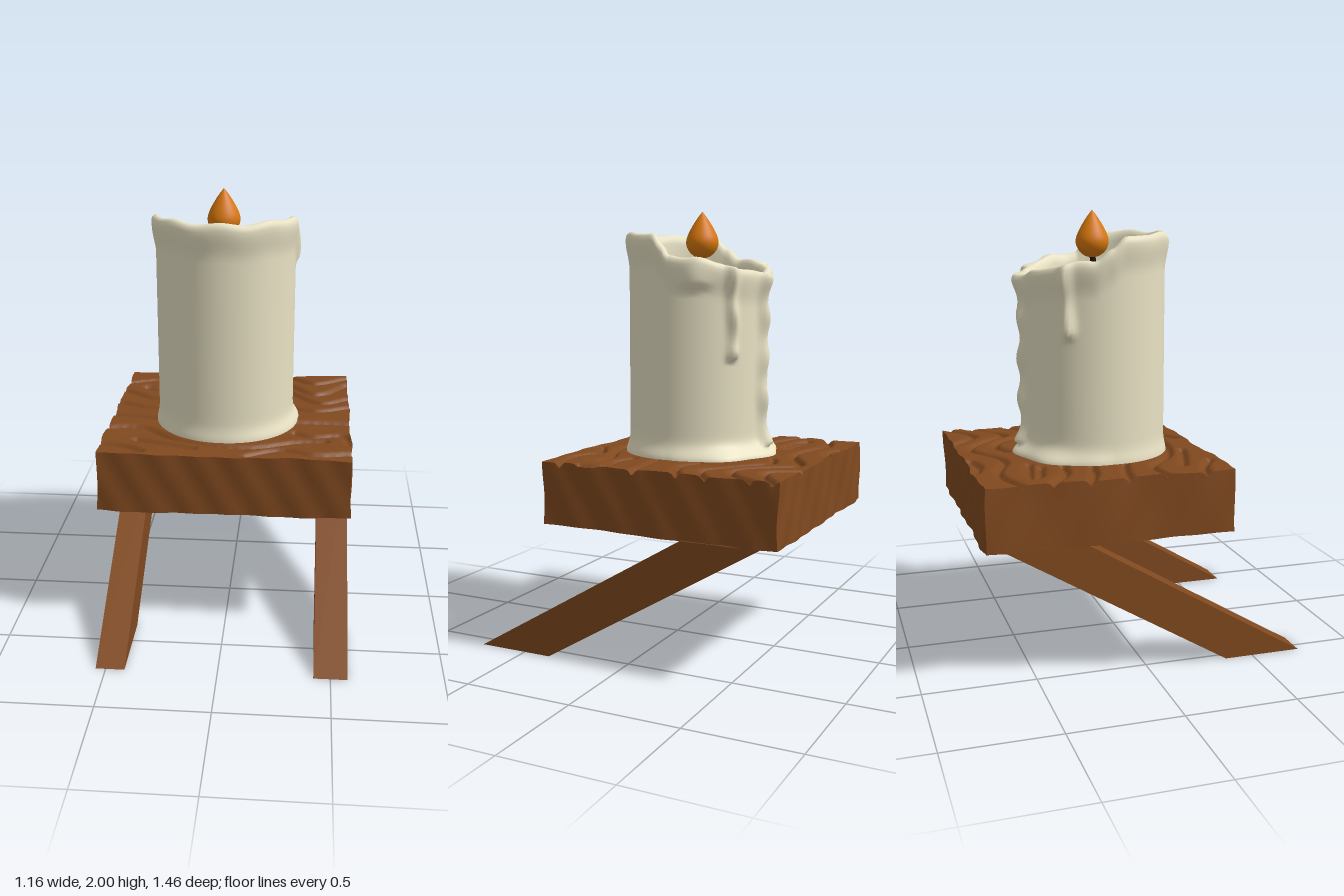
import * as THREE from 'three';
import { mergeVertices } from 'three/addons/utils/BufferGeometryUtils.js';

const wood = new THREE.MeshStandardMaterial({ color: 0x80491f });
const wax = new THREE.MeshStandardMaterial({ color: 0xe9e2c4 });
const fire = new THREE.MeshStandardMaterial({ color: 0xd8780f });
const soot = new THREE.MeshStandardMaterial({ color: 0x1c1612 });

const { sin, cos, exp, abs, min, max, PI } = Math;
const rad = THREE.MathUtils.degToRad;
const smooth = THREE.MathUtils.smoothstep;

function addMesh(parent, name, geometry, material) {
  const mesh = new THREE.Mesh(geometry, material);
  mesh.name = name;
  parent.add(mesh);
  return mesh;
}

// Moves every vertex by a rule, then refreshes the normals
function reshape(geometry, rule) {
  const pos = geometry.attributes.position;
  const p = new THREE.Vector3();
  for (let i = 0; i < pos.count; i++) {
    rule(p.fromBufferAttribute(pos, i));
    pos.setXYZ(i, p.x, p.y, p.z);
  }
  geometry.computeVertexNormals();
  return geometry;
}

// Wood grain lines on the board top, as x, z pairs
const GRAIN = [
  [-0.57, -0.56, -0.36, -0.62, -0.1, -0.55, 0.16, -0.66, 0.4, -0.45, 0.57, -0.6],
  [-0.3, -0.71, -0.2, -0.68, -0.1, -0.7],
  [0.27, -0.72, 0.4, -0.6, 0.57, -0.7],
  [-0.22, -0.46, -0.46, -0.5, -0.44, -0.46, -0.28, -0.42],
  [0.05, -0.5, 0.2, -0.53, 0.42, -0.33, 0.57, -0.4],
  [-0.57, -0.43, -0.42, -0.34, -0.28, -0.32],
  [-0.57, -0.27, -0.45, -0.22, -0.33, -0.2],
  [0.28, -0.25, 0.42, -0.21, 0.57, -0.27],
  [-0.57, -0.1, -0.45, -0.08, -0.33, -0.05],
  [0.3, -0.05, 0.45, -0.06, 0.57, -0.06],
  [-0.57, 0.07, -0.4, 0.06, -0.22, 0.2, 0.08, 0.26, 0.32, 0.18, 0.45, 0.17],
  [0.31, 0.07, 0.4, 0.11, 0.54, 0.09, 0.56, 0.2],
  [-0.57, 0.25, -0.47, 0.28, -0.38, 0.34],
  [-0.42, 0.2, -0.28, 0.25, -0.15, 0.29],
  [0.1, 0.35, 0.25, 0.28, 0.4, 0.33, 0.57, 0.3],
].map((line) => {
  const pts = [];
  for (let i = 0; i < line.length; i += 2) pts.push(new THREE.Vector2(line[i], line[i + 1]));
  const curve = new THREE.SplineCurve(pts);
  return curve.getSpacedPoints(Math.ceil(curve.getLength() / 0.012));
}).flat();

// Thick rough board with carved grain
function boardGeometry() {
  const geometry = new THREE.BoxGeometry(1.145, 0.285, 1.11, 120, 10, 116);
  geometry.translate(-0.002, 0.755, -0.17);
  return reshape(geometry, (p) => {
    const { x, y, z } = p;
    const onTop = y > 0.89;
    if (abs(x + 0.002) > 0.57) p.x += Math.sign(x) * (0.004 * sin(13 * z + 6 * y) + 0.003 * sin(31 * z - 18 * y));
    if (abs(z + 0.17) > 0.55) p.z += Math.sign(z + 0.17) * (0.004 * sin(15 * x - 7 * y) + 0.003 * sin(37 * x + 21 * y));
    if (onTop) {
      let d2 = 1;
      for (const g of GRAIN) d2 = min(d2, (g.x - x) ** 2 + (g.y - z) ** 2);
      p.y += 0.003 * sin(9 * x + 14 * z) - 0.024 * exp(-d2 / 0.00022);
    } else if (y < 0.62) {
      p.y += 0.003 * sin(11 * x + 5 * z);
    }
  });
}

// Slanted leg: a box sheared so that its foot reaches forward
function legGeometry(width) {
  const geometry = new THREE.BoxGeometry(width, 0.612, 0.36);
  return reshape(geometry, (p) => {
    p.z += 0.04 - (p.y / 0.612) * 1.02;
    p.y += 0.306;
  });
}

// Rim height around the candle: angle in degrees from +x towards +z, height
const RIM = [
  [0, 1.8], [6, 1.84], [14, 1.89], [30, 1.9], [90, 1.9], [150, 1.9], [170, 1.885], [182, 1.84], [196, 1.79],
  [225, 1.77], [250, 1.74], [270, 1.725], [290, 1.73], [320, 1.765], [340, 1.79], [360, 1.8],
];
function rimHeight(deg) {
  let i = 1;
  while (i < RIM.length - 1 && RIM[i][0] < deg) i++;
  const [a0, h0] = RIM[i - 1];
  const [a1, h1] = RIM[i];
  return h0 + (h1 - h0) * smooth(deg, a0, a1) + 0.006 * sin(rad(deg) * 9);
}

// Wax runs: angle, lower end, angular width, thickness
const DRIPS = [
  { at: 308, low: 1.33, width: 0.07, thick: 0.03 },
  { at: 274, low: 0.93, width: 0.085, thick: 0.036 },
  { at: 217, low: 1.44, width: 0.075, thick: 0.03 },
  { at: 338, low: 1.64, width: 0.2, thick: 0.02 },
];

function outerRadius(a, deg, y, h) {
  let r = 0.32;
  // flared lip
  r += 0.018 * smooth(y, h - 0.16, h - 0.03);
  // puddle around the foot, widest at the back
  const back = max(0, -sin(a));
  const puddle = 0.012 + 0.014 * max(0, cos(a)) + 0.045 * back + 0.01 * back * sin(8 * a + 1);
  r += puddle * exp(-(((y - 0.9) / 0.045) ** 2));
  for (const d of DRIPS) {
    const off = rad(((deg - d.at + 540) % 360) - 180) + 0.02 * sin(y * 14);
    const bead = 1 + 0.22 * sin(y * 34) + 0.3 * exp(-(((y - d.low - 0.04) / 0.03) ** 2));
    r += d.thick * bead * exp(-((off / d.width) ** 2)) * smooth(y, d.low, d.low + 0.03);
  }
  return r;
}

// Candle skin: up the outside, over the lip, down the inside to the pool
function candleGeometry() {
  const around = 160;
  const outer = 50;
  const inner = 16;
  const rows = outer + inner;
  const geometry = new THREE.PlaneGeometry(1, 1, around, rows);
  geometry.deleteAttribute('uv');
  geometry.deleteAttribute('normal');
  reshape(geometry, (p) => {
    const a = -(p.x + 0.5) * 2 * PI;
    const deg = ((Math.round(-(p.x + 0.5) * around) + around) % around) * (360 / around);
    const row = Math.round((p.y + 0.5) * rows);
    const h = rimHeight(deg);
    let r, y;
    if (row <= outer) {
      y = 0.9 + (h - 0.93) * (row / outer) ** 1.25;
      r = outerRadius(a, deg, y, h);
    } else {
      const lip = outerRadius(a, deg, h - 0.03, h);
      const pool = 1.66 + 0.004 * sin(3 * a);
      const section = [
        [lip, h - 0.03], [lip - 0.004, h - 0.012], [lip - 0.014, h - 0.002], [0.312, h], [0.3, h - 0.006],
        [0.29, h - 0.022], [0.284, h - 0.045], [0.28, max(1.7, h - 0.1)], [0.275, 1.695],
        [0.262, 1.68], [0.24, 1.668], [0.2, pool], [0.15, pool], [0.1, 1.66], [0.05, 1.658], [0.02, 1.658], [0, 1.658],
      ];
      [r, y] = section[row - outer];
    }
    p.set(-0.025 + r * cos(a), y, -0.098 + r * sin(a));
  });
  geometry.deleteAttribute('normal');
  const merged = mergeVertices(geometry, 1e-4);
  merged.computeVertexNormals();
  return merged;
}

// Teardrop flame
function flameGeometry() {
  const profile = new THREE.SplineCurve([
    [0, 1.788], [0.035, 1.797], [0.064, 1.825], [0.075, 1.862], [0.062, 1.905], [0.03, 1.96], [0, 2],
  ].map(([r, y]) => new THREE.Vector2(r, y)));
  const points = profile.getPoints(24).map((p) => new THREE.Vector2(max(0, p.x), p.y));
  return new THREE.LatheGeometry(points, 32);
}

export function createModel() {
  const group = new THREE.Group();
  group.name = 'candleOnStand';

  addMesh(group, 'board', boardGeometry(), wood);
  addMesh(group, 'rightLeg', legGeometry(0.13), wood).position.x = -0.48;
  addMesh(group, 'leftLeg', legGeometry(0.15), wood).position.x = 0.5;

  addMesh(group, 'candle', candleGeometry(), wax);

  const wickPath = new THREE.CatmullRomCurve3([
    new THREE.Vector3(-0.025, 1.65, -0.1),
    new THREE.Vector3(-0.028, 1.73, -0.102),
    new THREE.Vector3(-0.035, 1.82, -0.11),
  ]);
  addMesh(group, 'wick', new THREE.TubeGeometry(wickPath, 8, 0.014, 10), soot);
  addMesh(group, 'flame', flameGeometry(), fire).position.set(-0.035, 0, -0.11);

  return group;
}
